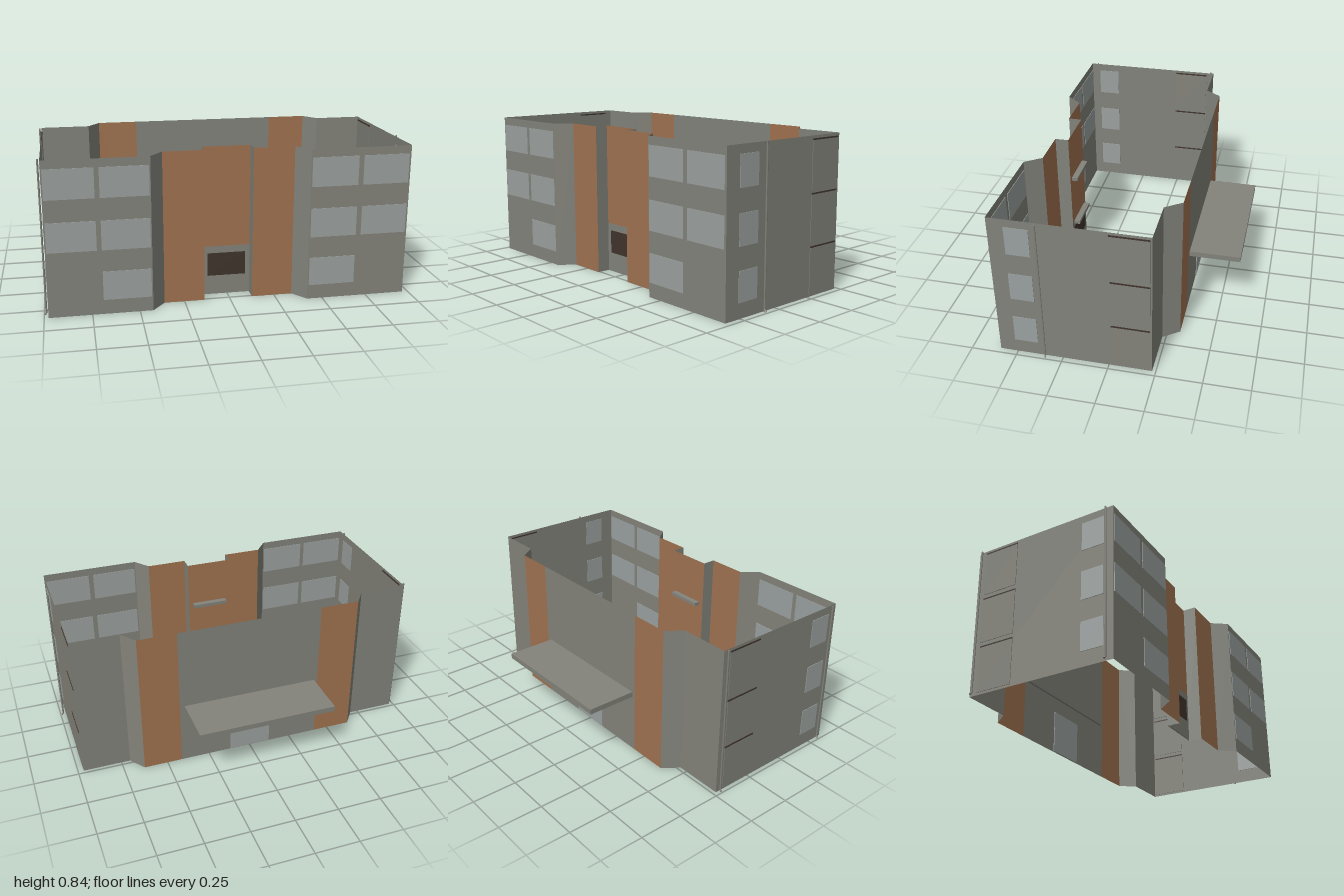
import * as THREE from 'three';

const H = 0.84;
const colour = (name, hex) => {
  const m = new THREE.MeshStandardMaterial({ color: hex, side: THREE.DoubleSide });
  m.name = name;
  return m;
};

export function createModel() {
  const grey = colour('grey render', 0x83837b);
  const brick = colour('brown cladding', 0xa07250);
  const glass = colour('pale glass', 0x9ba1a0);
  const dark = colour('dark brown', 0x40342c);
  const model = new THREE.Group();
  model.name = 'building';

  const add = (name, geo, mat, x, y, z) => {
    const m = new THREE.Mesh(geo, mat);
    m.name = name;
    m.position.set(x, y, z);
    model.add(m);
    return m;
  };
  // Box given by its extents
  const box = (name, mat, x0, x1, y0, y1, z0, z1) =>
    add(name, new THREE.BoxGeometry(x1 - x0, y1 - y0, z1 - z0), mat,
      (x0 + x1) / 2, (y0 + y1) / 2, (z0 + z1) / 2);
  // Thin upright wall between two plan points
  const wall = (name, mat, [x0, z0], [x1, z1], y0 = 0, y1 = H) => {
    const m = add(name, new THREE.PlaneGeometry(Math.hypot(x1 - x0, z1 - z0), y1 - y0), mat,
      (x0 + x1) / 2, (y0 + y1) / 2, (z0 + z1) / 2);
    m.rotation.y = -Math.atan2(z1 - z0, x1 - x0);
  };

  // Open shell: plan outline, each corner with the material of the wall that follows it
  const outline = [
    [-0.977, 0.597, grey], [-0.43, 0.597, grey], [-0.36, 0.51, brick], [-0.14, 0.51, grey],
    [-0.14, 0.435, null], [0.125, 0.435, grey], [0.125, 0.51, brick], [0.35, 0.51, grey],
    [0.415, 0.597, grey], [0.968, 0.597, grey], [0.968, -0.23, grey], [0.70, -0.23, grey],
    [0.635, -0.318, brick], [0.415, -0.318, grey], [-0.415, -0.318, brick],
    [-0.64, -0.318, grey], [-0.705, -0.23, grey], [-0.977, -0.23, grey],
  ];
  outline.forEach((p, i) => {
    const q = outline[(i + 1) % outline.length];
    if (p[2]) wall(p[2] === brick ? 'claddingWall' : 'wall', p[2], p, q);
  });

  // Recessed entrance bay with its door
  wall('entranceWall', brick, [-0.14, 0.435], [0.125, 0.435], 0.28, H);
  wall('entranceSurround', grey, [-0.14, 0.435], [0.125, 0.435], 0, 0.28);
  box('entranceGlazing', dark, -0.11, 0.10, 0.11, 0.24, 0.431, 0.439);
  box('entranceLowerPanel', grey, -0.11, 0.10, 0.005, 0.11, 0.431, 0.439);
  for (const y of [0.26, 0.56]) box('innerLedge', grey, -0.11, 0.10, y, y + 0.02, 0.40, 0.434);

  // Front windows
  const rows = [[0.08, 0.237], [0.355, 0.515], [0.635, 0.795]];
  rows.forEach(([y0, y1], floor) => {
    [[-0.97, -0.715], [-0.69, -0.437], [0.422, 0.677], [0.705, 0.958]].forEach(([x0, x1], i) => {
      if (floor === 0 && (i === 0 || i === 3)) return;
      box('frontWindow', glass, x0, x1, y0, y1, 0.594, 0.60);
    });
  });

  // Side windows and tall side panels with a dark head
  for (const [x, shift] of [[0.968, 0], [-0.977, 0.035]]) {
    for (const [y0, y1] of rows)
      box('sideWindow', glass, x - 0.003, x + 0.003, y0, y1, 0.383 + shift, 0.51 + shift);
    for (const [y0, y1] of [[0.013, 0.268], [0.29, 0.547], [0.57, 0.825]]) {
      const z0 = -0.22 + shift, z1 = -0.016 + shift;
      box('sidePanel', grey, x - 0.003, x + 0.003, y0, y1 - 0.008, z0, z1);
      box('sidePanelHead', dark, x - 0.003, x + 0.003, y1 - 0.008, y1, z0, z1);
    }
  }

  // Back door and canopy
  box('backDoor', glass, -0.12, 0.12, 0.005, 0.25, -0.322, -0.314);
  box('backCanopy', grey, -0.395, 0.388, 0.338, 0.368, -0.60, -0.305);

  // Downpipes with a kicked-out foot
  for (const [side, x, z] of [[1, 0.985, 0.343], [-1, -0.988, -0.21], [-1, -0.988, 0.56]]) {
    add('downpipe', new THREE.CylinderGeometry(0.005, 0.005, H - 0.015, 8), grey, x, (H + 0.015) / 2, z);
    const foot = add('downpipeFoot', new THREE.CylinderGeometry(0.005, 0.005, 0.016, 8), grey,
      x + side * 0.004, 0.011, z);
    foot.rotation.z = side * 0.7;
  }
  return model;
}
